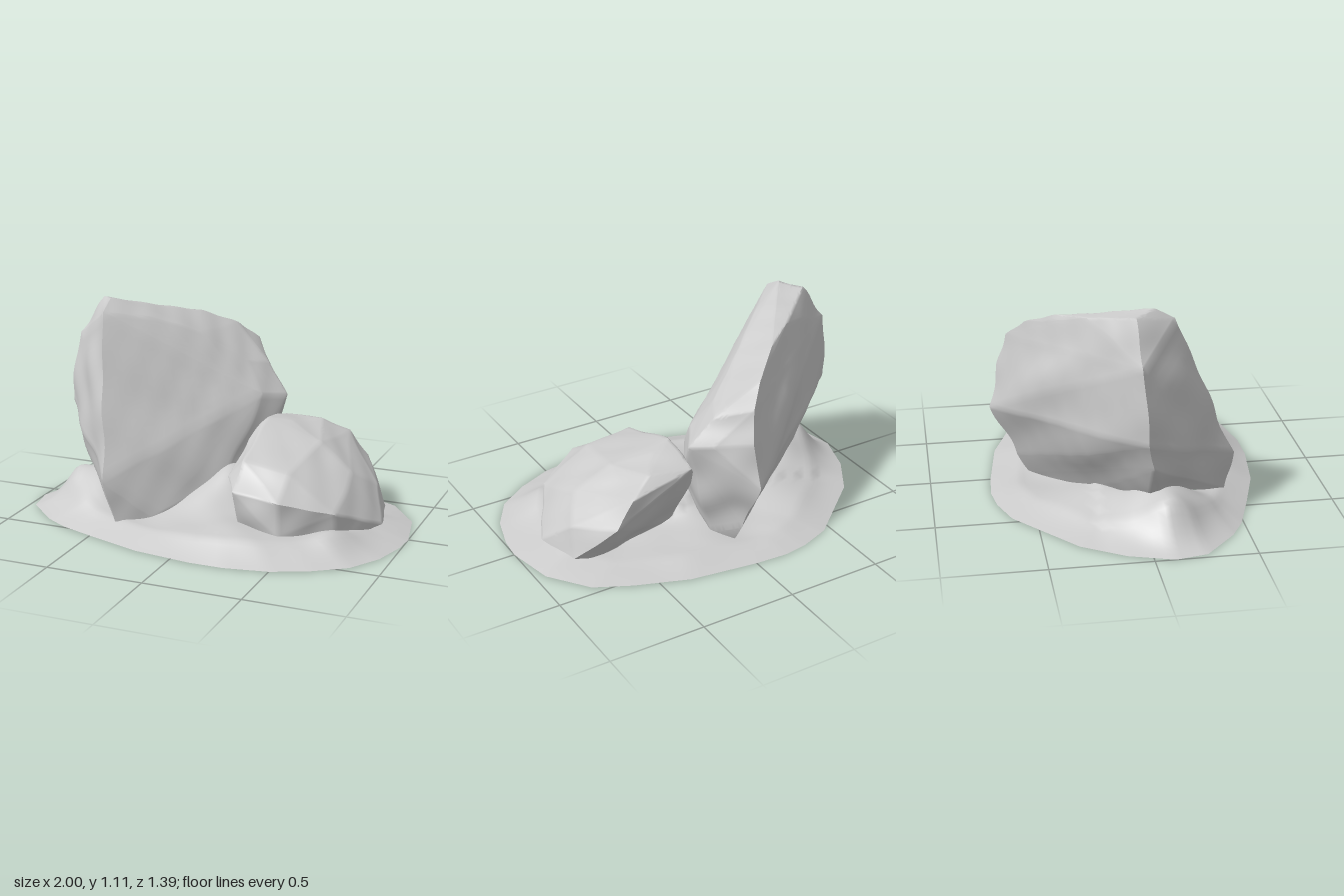
import * as THREE from 'three';
import { mergeVertices, toCreasedNormals } from 'three/addons/utils/BufferGeometryUtils.js';
import { ConvexGeometry } from 'three/addons/geometries/ConvexGeometry.js';

const vec = (p) => new THREE.Vector3(...p);

// Smooth, repeatable bumpiness in space, roughly -1..1
const bump = (x, y, z) =>
  0.6 * Math.sin(9 * x + 4 * y + 1.3) * Math.sin(8 * y - 5 * z + 0.4) +
  0.4 * Math.sin(15 * z + 6 * x) * Math.cos(15 * y + 7 * x + 2) +
  0.2 * Math.sin(21 * x - 13 * z) * Math.sin(23 * y + 11 * z);

// Split every triangle into four
function subdivide(tris) {
  const out = [];
  for (const [a, b, c] of tris) {
    const ab = a.clone().lerp(b, 0.5), bc = b.clone().lerp(c, 0.5), ca = c.clone().lerp(a, 0.5);
    out.push([a, ab, ca], [ab, b, bc], [ca, bc, c], [ab, bc, ca]);
  }
  return out;
}

// A boulder: hull of its corner points, open underneath, subdivided and roughened
function rock(name, corners, rough, material) {
  const pos = new ConvexGeometry(corners.map(vec)).getAttribute('position');
  const centre = new THREE.Vector3();
  corners.forEach((p) => centre.add(vec(p)));
  centre.divideScalar(corners.length);

  let tris = [];
  const normal = new THREE.Vector3();
  for (let i = 0; i < pos.count; i += 3) {
    const tri = [0, 1, 2].map((k) => new THREE.Vector3().fromBufferAttribute(pos, i + k));
    new THREE.Triangle(...tri).getNormal(normal);
    const buried = normal.y < -0.7 && tri.every((p) => p.y < 0.25);
    if (!buried) tris.push(tri);
  }
  for (let i = 0; i < 4; i++) tris = subdivide(tris);

  const points = tris.flat().map((p) => {
    const dir = p.clone().sub(centre).normalize();
    return p.clone().addScaledVector(dir, rough * bump(p.x, p.y, p.z));
  });
  const geo = mergeVertices(new THREE.BufferGeometry().setFromPoints(points), 1e-4);
  const mesh = new THREE.Mesh(toCreasedNormals(geo, 1.0), material);
  mesh.name = name;
  return mesh;
}

// Ground rim, as x and z pairs around the patch
const RIM = [
  [-1, 0.1], [-0.93, -0.12], [-0.8, -0.33], [-0.46, -0.62], [-0.3, -0.68], [-0.17, -0.7],
  [0, -0.69], [0.35, -0.64], [0.62, -0.54], [0.8, -0.45], [0.95, -0.25], [1, 0],
  [0.99, 0.12], [0.94, 0.3], [0.84, 0.46], [0.68, 0.57], [0.5, 0.65], [0.28, 0.69],
  [0.1, 0.69], [-0.2, 0.65], [-0.45, 0.57], [-0.68, 0.49], [-0.8, 0.42], [-0.97, 0.26],
];

// Openings in the ground below the two rocks
const HOLES = [
  [[-0.38, 0.39], [-0.24, 0.29], [-0.05, 0.03], [0.04, -0.2], [0.04, -0.36], [-0.02, -0.43],
    [-0.32, -0.14], [-0.58, 0.06], [-0.5, 0.22]],
  [[0.25, 0.28], [0.45, 0.33], [0.66, 0.19], [0.74, -0.03], [0.7, -0.16], [0.55, -0.18],
    [0.27, -0.14]],
];

// Earth banked up against the rocks: x, z, height, radius
const MOUNDS = [
  [-0.6, 0.2, 0.09, 0.17],
  [-0.8, 0.12, 0.1, 0.12],
  [-0.6, 0.02, 0.1, 0.15],
  [-0.38, -0.16, 0.06, 0.17],
  [0.05, -0.06, 0.19, 0.18],
  [-0.04, 0.14, 0.07, 0.18],
  [0.25, 0.4, 0.05, 0.22],
  [0.72, 0.33, 0.045, 0.13],
];

function inside(poly, x, z) {
  let hit = false;
  poly.forEach(([ax, az], i) => {
    const [bx, bz] = poly[(i + 1) % poly.length];
    if (az > z !== bz > z && x < ax + ((z - az) * (bx - ax)) / (bz - az)) hit = !hit;
  });
  return hit;
}

function groundHeight(x, z, t) {
  const edge = 1 - t;
  let y = Math.min(0.06, edge * 0.28) * (z < -0.2 ? 0.7 : 1);
  for (const [mx, mz, h, r] of MOUNDS) {
    const d2 = ((x - mx) ** 2 + (z - mz) ** 2) / (r * r);
    y += h * Math.exp(-d2) * Math.min(1, edge * 5);
  }
  return Math.max(0, y + 0.012 * bump(x, 0.3, z) * Math.min(1, edge * 4));
}

// Open sheet of earth in rings from the centre out to the rim
function ground(material) {
  const rings = 36, split = 5, n = RIM.length * split;
  const verts = [], index = [];
  for (let r = 0; r <= rings; r++) {
    const t = r / rings;
    for (let i = 0; i < n; i++) {
      const k = Math.floor(i / split), f = (i % split) / split;
      const a = RIM[k], b = RIM[(k + 1) % RIM.length];
      const x = t * (a[0] + (b[0] - a[0]) * f);
      const z = t * (a[1] + (b[1] - a[1]) * f);
      verts.push(x, groundHeight(x, z, t), z);
    }
  }
  const addFace = (a, b, c) => {
    const x = (verts[3 * a] + verts[3 * b] + verts[3 * c]) / 3;
    const z = (verts[3 * a + 2] + verts[3 * b + 2] + verts[3 * c + 2]) / 3;
    if (!HOLES.some((hole) => inside(hole, x, z))) index.push(a, b, c);
  };
  for (let r = 0; r < rings; r++) {
    for (let i = 0; i < n; i++) {
      const j = (i + 1) % n, p = r * n, q = p + n;
      if (r > 0) addFace(p + i, p + j, q + i);
      addFace(p + j, q + j, q + i);
    }
  }
  const geo = new THREE.BufferGeometry();
  geo.setAttribute('position', new THREE.Float32BufferAttribute(verts, 3));
  geo.setIndex(index);
  geo.computeVertexNormals();
  const mesh = new THREE.Mesh(geo, material);
  mesh.name = 'ground';
  return mesh;
}

export function createModel() {
  const group = new THREE.Group();
  group.name = 'rocksOnGround';
  const stone = new THREE.MeshStandardMaterial({ color: 0xcccccc, side: THREE.DoubleSide });

  // Tall leaning slab
  group.add(rock('tallRock', [
    // crest, from the peak down to the far end
    [-0.6, 1.11, 0.06], [-0.6, 1.06, 0.16], [-0.68, 1.09, -0.04], [-0.45, 1.03, -0.24],
    [-0.28, 0.99, -0.36], [-0.12, 0.9, -0.5], [-0.03, 0.81, -0.59],
    [-0.4, 1.0, -0.02], [-0.2, 0.92, -0.18], [0.03, 0.76, -0.31], [0.1, 0.73, -0.43],
    // far end
    [0.21, 0.57, -0.38], [0.12, 0.6, -0.24], [0.14, 0.6, -0.49], [0, 0.65, -0.64],
    [-0.02, 0.42, -0.68], [0.17, 0.44, -0.3],
    // near end
    [-0.83, 0.9, -0.03], [-0.88, 0.52, 0], [-0.81, 0.38, 0.03], [-0.45, 0.28, 0.49],
    // front foot
    [-0.4, 0.06, 0.46], [-0.24, 0.06, 0.34], [-0.12, 0.08, 0.17], [0, 0.16, 0.04],
    [0.1, 0.22, -0.14], [-0.5, 0.13, 0.3],
    // back foot
    [-0.66, 0.2, 0.08], [-0.6, 0.13, 0.03], [-0.33, 0.06, -0.19], [0, 0.03, -0.48],
    [0, 0.13, -0.55], [0.08, 0.04, -0.38],
  ], 0.022, stone));

  // Low boulder
  group.add(rock('lowRock', [
    // top
    [0.2, 0.5, -0.15], [0.3, 0.49, -0.2], [0.42, 0.47, -0.36], [0.2, 0.46, -0.4],
    [0.14, 0.42, 0], [0.2, 0.39, 0.24], [0.5, 0.43, -0.1], [0.55, 0.4, -0.43],
    [0.45, 0.35, 0.24], [0.68, 0.3, -0.05],
    // sides
    [0.12, 0.3, 0.25], [0.2, 0.27, 0.38], [0.45, 0.25, 0.41], [0.7, 0.18, 0.27],
    [0.78, 0.2, -0.2], [0.85, 0.06, -0.02], [0.8, 0.06, -0.27], [0.65, 0.27, -0.45],
    [0.13, 0.35, -0.3],
    // foot
    [0.45, 0.08, 0.39], [0.22, 0.08, 0.33], [0.22, 0.03, -0.2], [0.55, 0.02, -0.25],
    [0.7, 0.02, 0.23], [0.78, 0.02, -0.05], [0.72, 0.02, -0.22],
  ], 0.022, stone));

  group.add(ground(stone));
  return group;
}
